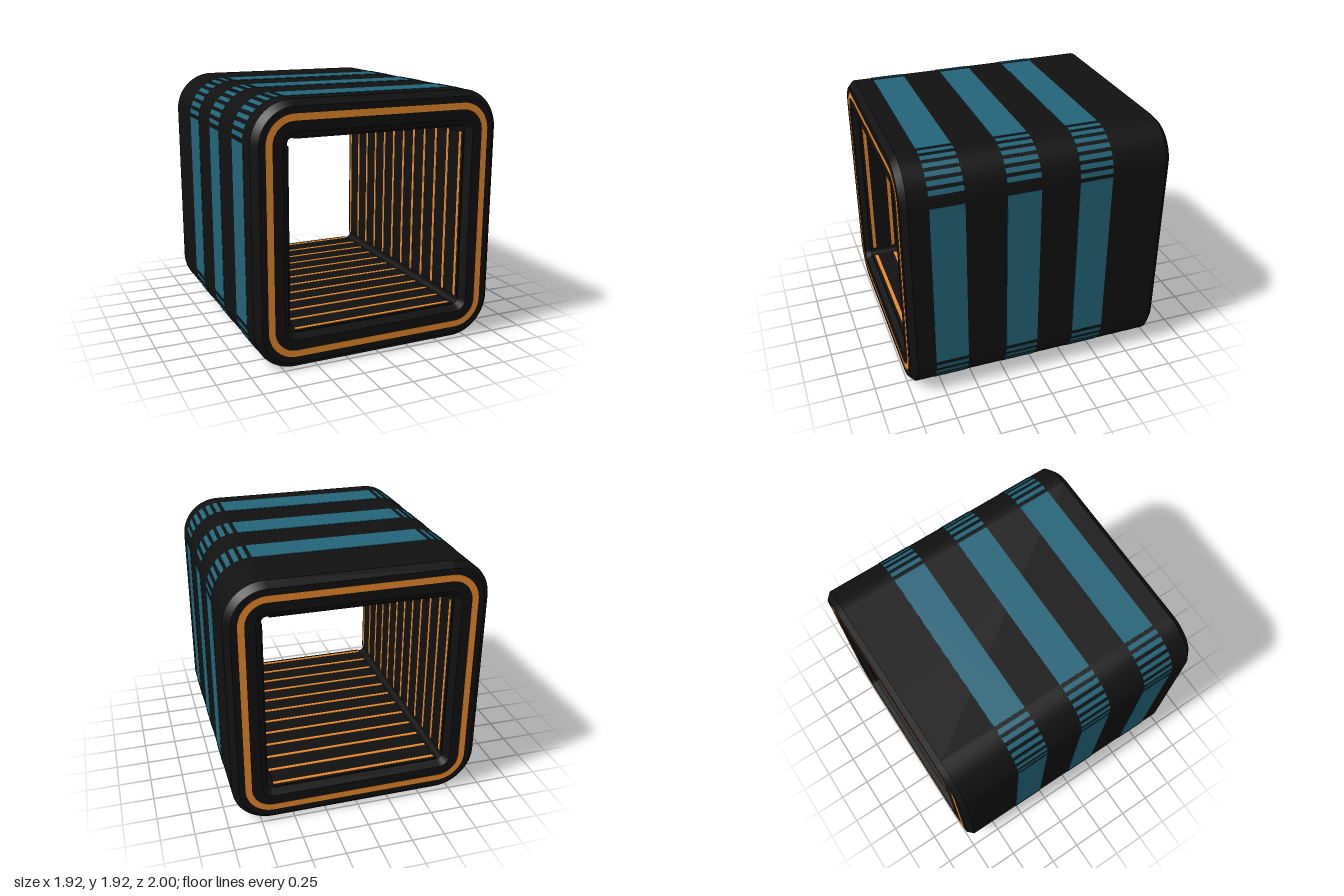
import * as THREE from 'three';
import { toCreasedNormals } from 'three/addons/utils/BufferGeometryUtils.js';

const black = new THREE.MeshStandardMaterial({ color: 0x111111 });
const blue = new THREE.MeshStandardMaterial({ color: 0x236478 });
const orange = new THREE.MeshStandardMaterial({ color: 0xe8892b });

const HALF = 0.955, RADIUS = 0.3, FLAT = HALF - RADIUS, PROUD = 0.003;

// Rounded square outline centred on the origin
function roundedSquare(h, r, PathType = THREE.Shape) {
  const p = new PathType(), c = h - r;
  p.moveTo(c, -h);
  p.absarc(c, -c, r, -Math.PI / 2, 0);
  p.absarc(c, c, r, 0, Math.PI / 2);
  p.absarc(-c, c, r, Math.PI / 2, Math.PI);
  p.absarc(-c, -c, r, Math.PI, Math.PI * 1.5);
  p.closePath();
  return p;
}

function frame(outer, outerR, inner, innerR) {
  const s = roundedSquare(outer, outerR);
  s.holes.push(roundedSquare(inner, innerR, THREE.Path));
  return s;
}

function add(parent, name, geometry, material, x = 0, y = 0, z = 0) {
  const m = new THREE.Mesh(geometry, material);
  m.name = name;
  m.position.set(x, y, z);
  parent.add(m);
  return m;
}

export function createModel() {
  const model = new THREE.Group();
  model.name = 'squareTunnel';
  const core = new THREE.Group();
  core.name = 'tunnelCore';
  core.position.y = HALF + PROUD;
  model.add(core);

  // Hollow body with chamfered ends
  const chamfer = 0.045;
  const body = new THREE.ExtrudeGeometry(frame(HALF - chamfer, RADIUS - chamfer, 0.74, 0.085), {
    depth: 1.906, bevelThickness: chamfer, bevelSize: chamfer, bevelSegments: 1, curveSegments: 16,
  });
  body.translate(0, 0, -0.953);
  add(core, 'body', toCreasedNormals(body, 0.5), black);

  // Glowing ring on each end
  const ring = new THREE.ExtrudeGeometry(frame(0.863, 0.21, 0.815, 0.162), {
    depth: 0.01, bevelEnabled: false, curveSegments: 16,
  });
  const ringGeo = toCreasedNormals(ring, 0.5);
  add(core, 'frontRing', ringGeo, orange, 0, 0, 0.99);
  add(core, 'backRing', ringGeo, orange, 0, 0, -1);

  // Shared shapes for the bands and the lining
  const bandWidth = 0.25;
  const bands = [0.685, 0.135, -0.405];
  const panelGeo = new THREE.BoxGeometry(FLAT * 2, 0.02, bandWidth);
  const liningGeo = new THREE.BoxGeometry(1.28, 0.02, 1.91);
  const stripGeo = new THREE.BoxGeometry(1.28, 0.02, 0.028);
  const barHalf = THREE.MathUtils.degToRad(3.5);
  const barShape = new THREE.Shape();
  barShape.absarc(0, 0, RADIUS + PROUD, -barHalf, barHalf, false);
  barShape.absarc(0, 0, RADIUS - 0.015, barHalf, -barHalf, true);
  const bar = new THREE.ExtrudeGeometry(barShape, { depth: bandWidth, bevelEnabled: false, curveSegments: 3 });
  bar.translate(0, 0, -bandWidth / 2);
  const barGeo = toCreasedNormals(bar, 0.5);

  // Four sides: top, left, bottom, right, each with the corner after it
  ['top', 'right', 'bottom', 'left'].forEach((name, k) => {
    const side = new THREE.Group();
    side.name = name + 'Side';
    side.rotation.z = k * Math.PI / 2;
    core.add(side);

    bands.forEach((z, b) => {
      add(side, 'bandPanel', panelGeo, blue, 0, HALF + PROUD - 0.01, z);
      // Short bars following the rounded corner
      for (let i = 0; i < 7; i++) {
        if (k === 3 && i === 0 && b < 2) continue; // gap in the upper left corner
        const m = add(side, 'cornerBar', barGeo, blue, FLAT, FLAT, z);
        m.rotation.z = THREE.MathUtils.degToRad(81 - i * 12);
        m.visible = true;
      }
    });

    // Inner lining with thin cross strips
    add(side, 'lining', liningGeo, black, 0, 0.697, 0);
    for (let i = 0; i < 12; i++) {
      add(side, 'lightStrip', stripGeo, orange, 0, 0.695, (i - 5.5) / 6);
    }
  });

  // The bar beside the left panel is missing on two bands
  const top = core.getObjectByName('topSide');
  const left = core.getObjectByName('leftSide');
  const gaps = top.children.filter((m) => m.name === 'cornerBar'
    && m.position.z > 0 && m.rotation.z < THREE.MathUtils.degToRad(10));
  gaps.forEach((m) => top.remove(m));
  // Complete the lower left corner
  bands.slice(0, 2).forEach((z) => {
    add(left, 'cornerBar', barGeo, blue, FLAT, FLAT, z).rotation.z = THREE.MathUtils.degToRad(81);
  });

  return model;
}
